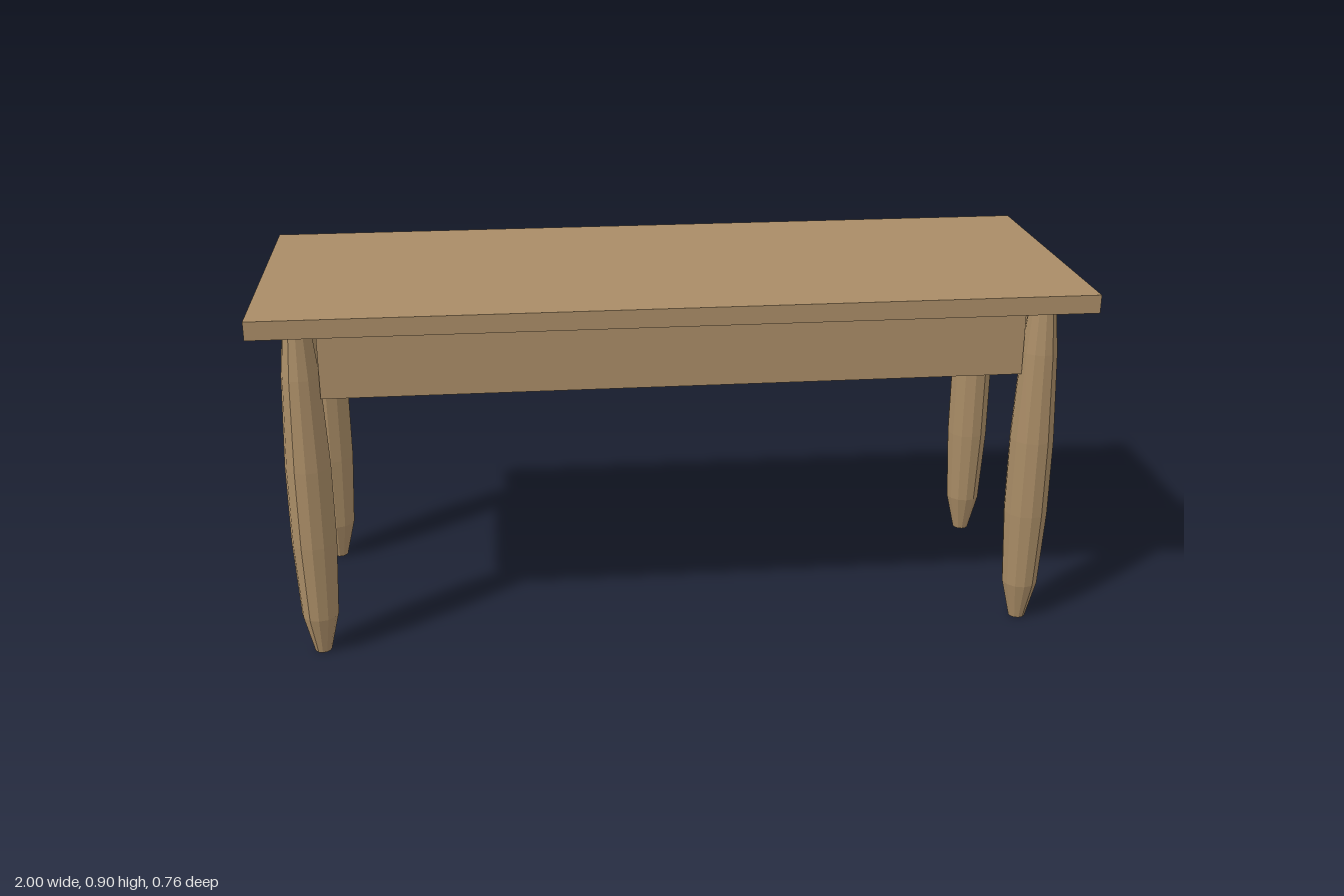
import * as THREE from 'three';

export function createModel() {
  const group = new THREE.Group();
  const wood = new THREE.MeshStandardMaterial({ color: 0xa98c66, flatShading: true });
  wood.name = 'wood';

  const TOP = 0.9, UNDER = 0.855, APRON_LOW = 0.675;
  const LEG_X = 0.895, LEG_Z = 0.275, THICK = 0.03;

  function addBox(name, w, h, d, x, y, z) {
    const mesh = new THREE.Mesh(new THREE.BoxGeometry(w, h, d), wood);
    mesh.name = name;
    mesh.position.set(x, y, z);
    group.add(mesh);
  }

  // Tabletop slab
  addBox('tabletop', 2, TOP - UNDER, 0.76, 0, (TOP + UNDER) / 2, 0);

  // Apron boards running between the legs
  const apronH = UNDER - APRON_LOW, apronY = (UNDER + APRON_LOW) / 2;
  for (const s of [1, -1]) {
    addBox(s > 0 ? 'frontApron' : 'backApron', 1.7, apronH, THICK, 0, apronY, s * LEG_Z);
    addBox(s > 0 ? 'leftApron' : 'rightApron', THICK, apronH, 0.46, s * LEG_X, apronY, 0);
  }

  // Turned, faceted legs: radius and height, closed at both ends
  const profile = [
    [0, 0], [0.021, 0], [0.045, 0.1], [0.055, 0.3],
    [0.055, 0.5], [0.045, 0.73], [0.032, UNDER], [0, UNDER],
  ].map(([r, y]) => new THREE.Vector2(r, y));
  const legGeometry = new THREE.LatheGeometry(profile, 12);
  for (const sx of [1, -1]) {
    for (const sz of [1, -1]) {
      const leg = new THREE.Mesh(legGeometry, wood);
      leg.name = (sz > 0 ? 'front' : 'back') + (sx > 0 ? 'Left' : 'Right') + 'Leg';
      leg.position.set(sx * LEG_X, 0, sz * LEG_Z);
      group.add(leg);
    }
  }
  return group;
}
